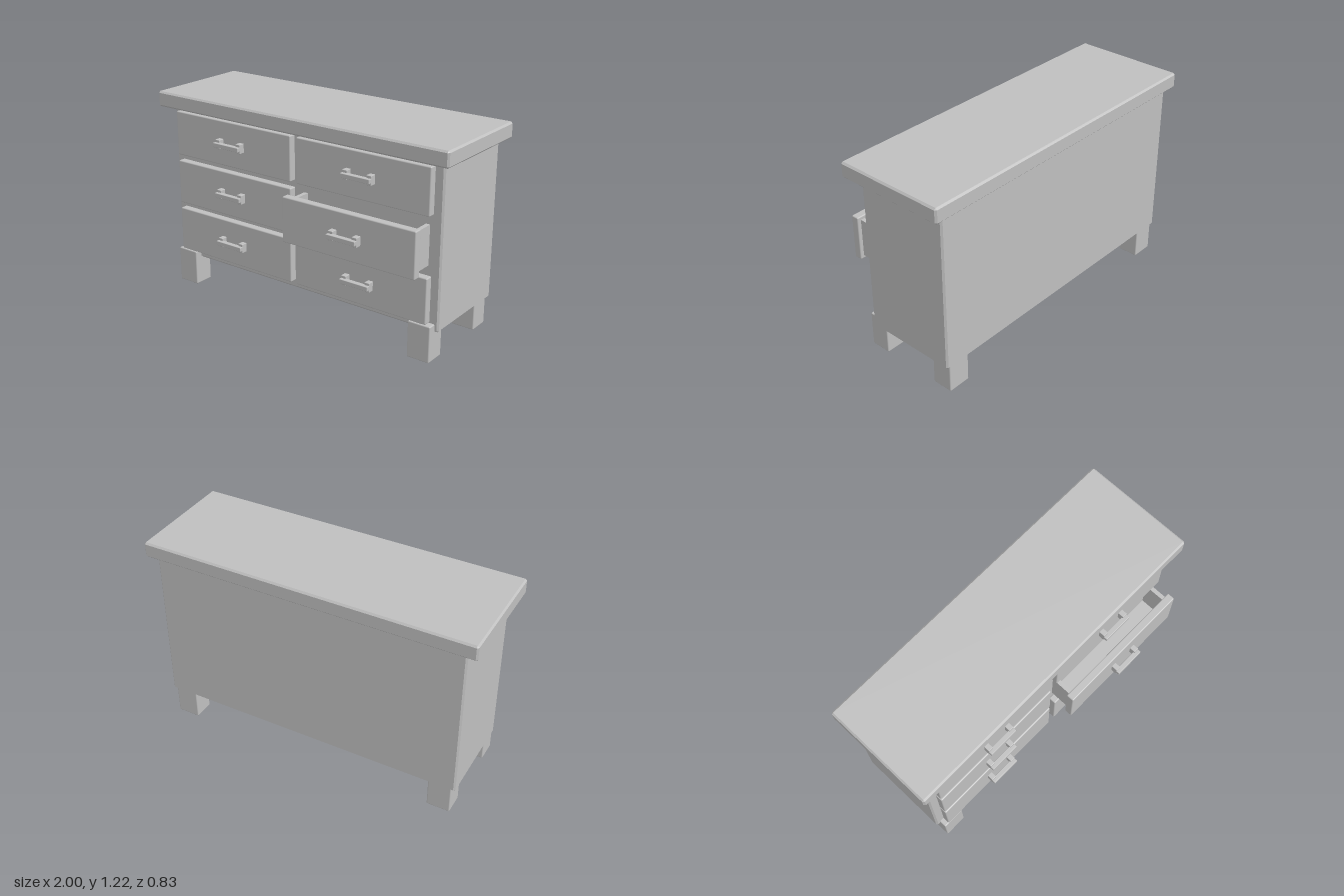
import * as THREE from 'three';
import { RoundedBoxGeometry } from 'three/addons/geometries/RoundedBoxGeometry.js';
import { ConvexGeometry } from 'three/addons/geometries/ConvexGeometry.js';

const grey = new THREE.MeshStandardMaterial({ color: 0xbfbfbf });
grey.name = 'plain grey';

// Box with flat chamfers on every edge
function chamferBox(w, h, d, c) {
  const points = [];
  for (const x of [-w / 2, w / 2])
    for (const y of [-h / 2, h / 2])
      for (const z of [-d / 2, d / 2]) {
        const ix = x - Math.sign(x) * c, iy = y - Math.sign(y) * c, iz = z - Math.sign(z) * c;
        points.push(
          new THREE.Vector3(x, iy, iz),
          new THREE.Vector3(ix, y, iz),
          new THREE.Vector3(ix, iy, z));
      }
  return new ConvexGeometry(points);
}

const rounded = (w, h, d, r) => new RoundedBoxGeometry(w, h, d, 2, r);
const plain = (w, h, d) => new THREE.BoxGeometry(w, h, d);

// Adds a box spanning [x0, x1] x [y0, y1] x [z0, z1]
function addBox(parent, name, make, [x0, x1], [y0, y1], [z0, z1], edge) {
  const mesh = new THREE.Mesh(make(x1 - x0, y1 - y0, z1 - z0, edge), grey);
  mesh.position.set((x0 + x1) / 2, (y0 + y1) / 2, (z0 + z1) / 2);
  mesh.name = name;
  parent.add(mesh);
}

// Pull handle, its back on z = 0
function createHandle() {
  const handle = new THREE.Group();
  handle.name = 'handle';
  for (const x of [-0.078, 0.078])
    addBox(handle, 'handlePost', rounded, [x - 0.016, x + 0.016], [-0.028, 0.028], [-0.003, 0.036], 0.003);
  addBox(handle, 'handleBar', rounded, [-0.094, 0.094], [-0.013, 0.013], [0.026, 0.056], 0.003);
  return handle;
}

// Drawer centred on x = 0, y = 0, with the back of its front panel on z = 0
function createDrawer(open) {
  const drawer = new THREE.Group();
  drawer.name = open ? 'openDrawer' : 'drawer';
  addBox(drawer, 'drawerFront', rounded, [-0.432, 0.432], [-0.135, 0.135], [0, 0.048], 0.007);
  const handle = createHandle();
  handle.position.z = 0.048;
  drawer.add(handle);
  if (open) {
    const depth = [-0.15, 0.005];
    for (const s of [-1, 1]) {
      const side = [s * 0.41, s * 0.385].sort((a, b) => a - b);
      addBox(drawer, 'drawerSide', plain, side, [-0.115, 0.115], depth);
    }
    addBox(drawer, 'drawerBottom', plain, [-0.39, 0.39], [-0.105, -0.085], depth);
  }
  return drawer;
}

export function createModel() {
  const model = new THREE.Group();
  model.name = 'dresser';

  addBox(model, 'top', chamferBox, [-1, 1], [1.122, 1.215], [-0.415, 0.265], 0.01);
  addBox(model, 'body', chamferBox, [-0.938, 0.938], [0.17, 1.13], [-0.385, 0.187], 0.01);

  // Front legs overlap the front face, rear legs sit below the body
  for (const s of [-1, 1]) {
    const x = [s * 0.775, s * 0.915].sort((a, b) => a - b);
    addBox(model, 'frontLeg', rounded, x, [0, 0.217], [0.108, 0.234], 0.007);
    addBox(model, 'backLeg', rounded, x, [0, 0.2], [-0.38, -0.254], 0.007);
  }

  // Two columns of three drawers, the middle one on the left side pulled out
  [0.355, 0.661, 0.969].forEach((y, row) => {
    for (const s of [-1, 1]) {
      const open = row === 1 && s === 1;
      const drawer = createDrawer(open);
      drawer.position.set(s * 0.453, y, open ? 0.312 : 0.186);
      model.add(drawer);
    }
  });

  return model;
}
